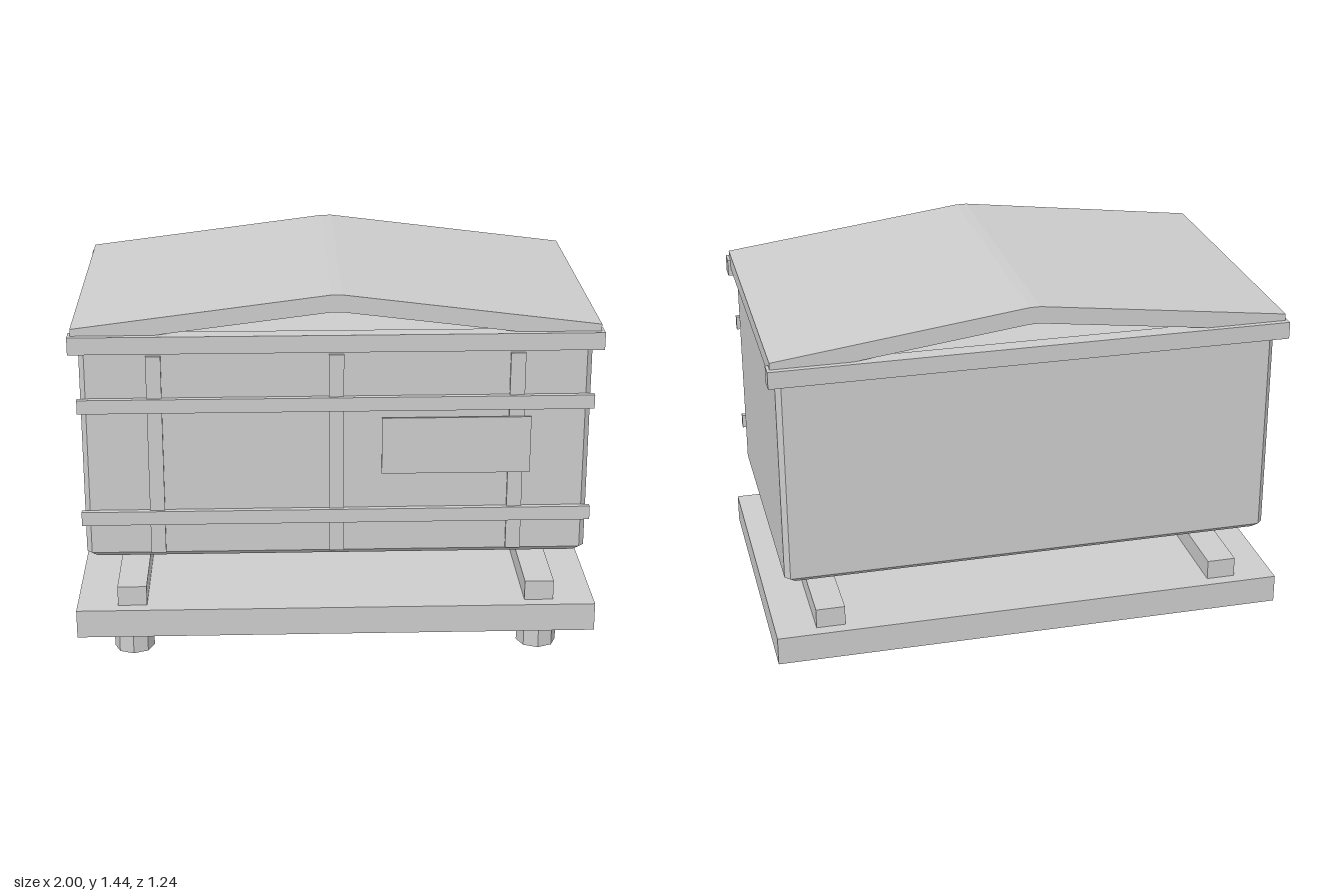
import * as THREE from 'three';
import { ConvexGeometry } from 'three/addons/geometries/ConvexGeometry.js';

export function createModel() {
  const group = new THREE.Group();
  const grey = new THREE.MeshStandardMaterial({ color: 0xcccccc });
  grey.name = 'plain grey';
  grey.flatShading = true;

  const add = (name, geometry, x = 0, y = 0, z = 0) => {
    const mesh = new THREE.Mesh(geometry, grey);
    mesh.name = name;
    mesh.position.set(x, y, z);
    group.add(mesh);
    return mesh;
  };

  // Box given by its minimum and maximum on each axis
  const box = (name, x0, x1, y0, y1, z0, z1) =>
    add(name, new THREE.BoxGeometry(x1 - x0, y1 - y0, z1 - z0),
      (x0 + x1) / 2, (y0 + y1) / 2, (z0 + z1) / 2);

  // Base slab, with a runner and a front foot on each side
  box('baseSlab', -1, 1, 0.083, 0.194, -0.607, 0.607);
  for (const s of [-1, 1]) {
    box('runner', s * 0.787 - 0.056, s * 0.787 + 0.056, 0.194, 0.272, -0.56, 0.56);
    add('foot', new THREE.CylinderGeometry(0.077, 0.077, 0.083, 8), s * 0.787, 0.0415, 0.508);
  }

  // Body: chamfered upright edges and a chamfered bottom rim
  const ring = (y, inset) => {
    const w = 0.953 - inset, d = 0.56 - inset, c = 0.02;
    return [-1, 1].flatMap((sx) => [-1, 1].flatMap((sz) => [
      new THREE.Vector3(sx * w, y, sz * (d - c)),
      new THREE.Vector3(sx * (w - c), y, sz * d),
    ]));
  };
  add('body', new ConvexGeometry([...ring(0.398, 0.02), ...ring(0.418, 0), ...ring(1.28, 0)]));

  // Upright and horizontal battens on the front
  for (const x of [-0.678, 0, 0.675]) {
    box('uprightBatten', x - 0.028, x + 0.028, 0.42, 1.205, 0.555, 0.572);
  }
  for (const y of [0.567, 1.015]) {
    box('horizontalBatten', -0.964, 0.964, y - 0.027, y + 0.027, 0.563, 0.585);
  }

  // Front panel lying over the upright batten
  box('frontPanel', 0.17, 0.73, 0.735, 0.957, 0.571, 0.579);

  // Eaves beams at front and back
  for (const s of [-1, 1]) {
    box('eavesBeam', -0.986, 0.986, 1.23, 1.296, s * 0.587 - 0.032, s * 0.587 + 0.032);
  }

  // Pitched roof with a narrow flat ridge
  const profile = [[-0.975, 1.258], [-0.02, 1.377], [0.02, 1.377], [0.975, 1.258],
    [0.975, 1.322], [0.02, 1.443], [-0.02, 1.443], [-0.975, 1.322]];
  const roofShape = new THREE.Shape(profile.map(([x, y]) => new THREE.Vector2(x, y)));
  add('roof', new THREE.ExtrudeGeometry(roofShape, { depth: 1.194, bevelEnabled: false }), 0, 0, -0.597);

  return group;
}
